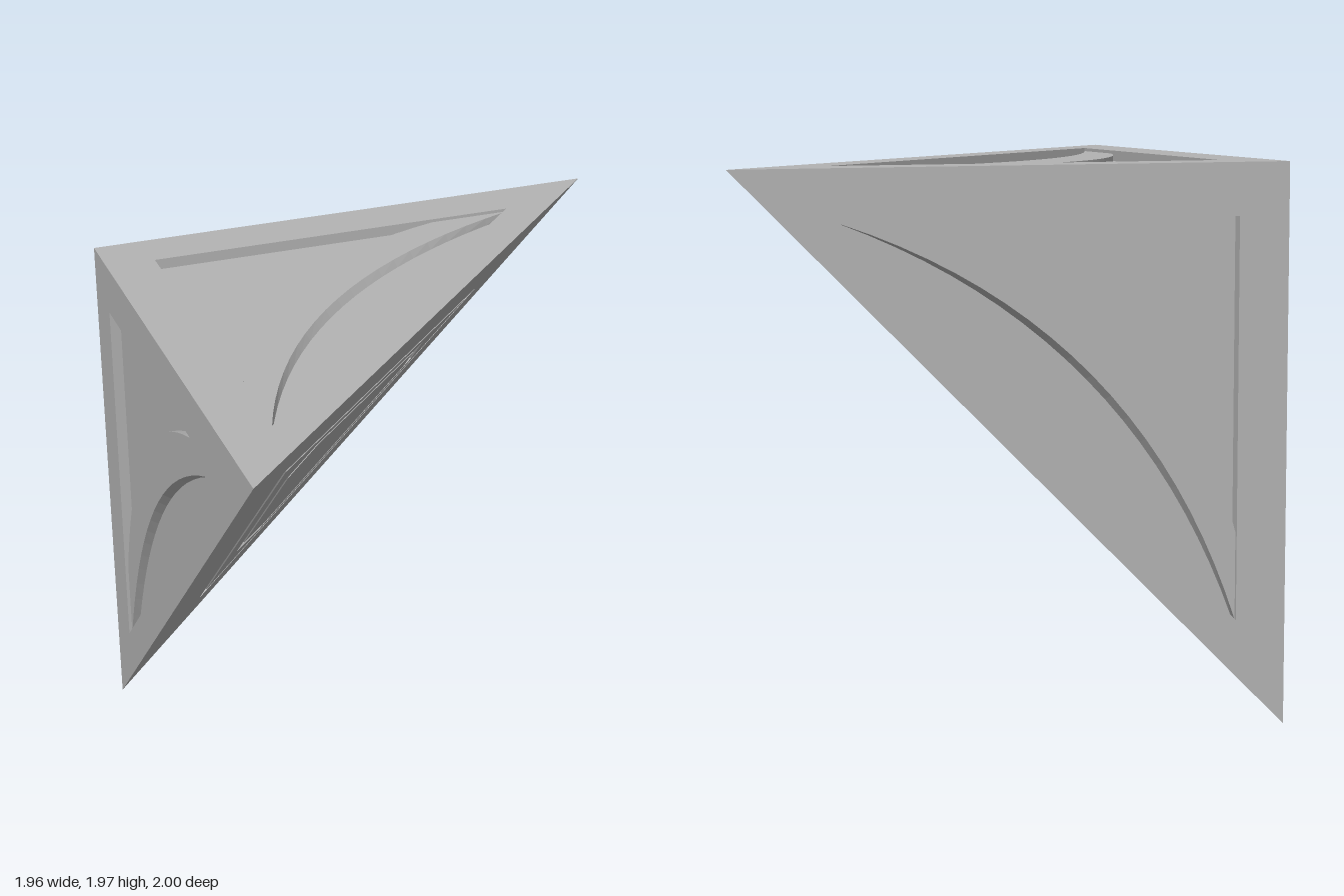
import * as THREE from 'three';

const V = (x, y, z) => new THREE.Vector3(x, y, z);
const P2 = (x, y) => new THREE.Vector2(x, y);

// corners of the wedge
const C = V(-0.98, 1.965, -0.965), A = V(0.98, 1.965, -0.965);
const B = V(-0.98, 1.935, 1), D = V(-0.98, 0, -1);
const CENTRE = C.clone().add(A).add(B).add(D).multiplyScalar(0.25);

export function createModel() {
  const model = new THREE.Group();
  const grey = new THREE.MeshStandardMaterial({ color: 0xb4b4b4, side: THREE.DoubleSide });
  grey.name = 'plain grey';

  // maps (s, t, depth below the surface) on one triangular face to space
  function faceFrame(o, p, q) {
    const u = p.clone().sub(o), v = q.clone().sub(o);
    const n = u.clone().cross(v).normalize();
    const flip = n.dot(o.clone().sub(CENTRE)) < 0;
    if (flip) n.negate();
    const at = (s, t, d) => o.clone().addScaledVector(u, s).addScaledVector(v, t).addScaledVector(n, -d);
    return { at, flip };
  }

  function add(group, name, geo) {
    geo.computeVertexNormals();
    const mesh = new THREE.Mesh(geo, grey);
    mesh.name = name;
    group.add(mesh);
  }

  // flat sheet with optional hole, laid on a face at some depth
  function sheet(group, name, frame, outline, depth, hole) {
    const shape = new THREE.Shape(outline);
    if (hole) shape.holes.push(new THREE.Path(hole));
    const geo = new THREE.ShapeGeometry(shape);
    const pos = geo.attributes.position;
    for (let i = 0; i < pos.count; i++) {
      const p = frame.at(pos.getX(i), pos.getY(i), depth);
      pos.setXYZ(i, p.x, p.y, p.z);
    }
    if (frame.flip) {
      const idx = geo.index.array;
      for (let i = 0; i < idx.length; i += 3) [idx[i], idx[i + 1]] = [idx[i + 1], idx[i]];
    }
    add(group, name, geo);
  }

  // strip of wall between two matching outlines at two depths
  function wall(group, name, frame, top, d0, bottom, d1, closed) {
    const pts = [];
    for (let i = 0; i < top.length - (closed ? 0 : 1); i++) {
      const j = (i + 1) % top.length;
      const a = frame.at(top[i].x, top[i].y, d0), b = frame.at(top[j].x, top[j].y, d0);
      const c = frame.at(bottom[j].x, bottom[j].y, d1), d = frame.at(bottom[i].x, bottom[i].y, d1);
      pts.push(a, b, c, a, c, d);
    }
    add(group, name, new THREE.BufferGeometry().setFromPoints(pts));
  }

  const arc = (end, c) => new THREE.QuadraticBezierCurve(
    P2(end, 0.093), P2(c, c), P2(0.093, end)).getPoints(20);
  const triangle = [P2(0, 0), P2(1, 0), P2(0, 1)];

  // three square-corner faces, each a pocket holding a raised crescent
  const FLOOR = 0.04, CREST = 0.012;
  const pocket = [P2(0.093, 0.093), P2(0.806, 0.093), P2(0.093, 0.806)];
  const innerArc = arc(0.65, 0.21), outerArc = arc(0.806, 0.274), outerFoot = arc(0.806, 0.288);
  [['topFace', A, B], ['backFace', A, D], ['sideFace', B, D]].forEach(([name, p, q]) => {
    const g = new THREE.Group();
    g.name = name;
    const f = faceFrame(C, p, q);
    sheet(g, 'border', f, triangle, 0, pocket);
    wall(g, 'pocketWall', f, pocket, 0, pocket, FLOOR, true);
    sheet(g, 'pocketFloor', f, pocket, FLOOR);
    sheet(g, 'crescent', f, [...innerArc, ...outerArc.slice().reverse()], CREST);
    wall(g, 'crescentInnerWall', f, innerArc, CREST, innerArc, FLOOR, false);
    wall(g, 'crescentOuterWall', f, outerArc, CREST, outerFoot, FLOOR, false);
    model.add(g);
  });

  // sloping face with two engraved outlines
  const slope = new THREE.Group();
  slope.name = 'slopingFace';
  const f = faceFrame(B, A, D);
  const scaled = (pts, k) => pts.map(p => P2(1 / 3 + (p.x - 1 / 3) * k, 1 / 3 + (p.y - 1 / 3) * k));
  const tri = [P2(0.142, 0.146), P2(0.72, 0.146), P2(0.142, 0.726)];
  const hex = [P2(0.194, 0.25), P2(0.255, 0.189), P2(0.571, 0.189),
    P2(0.571, 0.25), P2(0.255, 0.57), P2(0.194, 0.57)];
  const GROOVE = 0.03;
  let outline = triangle;
  [['triangle', scaled(tri, 1.02), scaled(tri, 0.95)], ['hexagon', scaled(hex, 1.02), scaled(hex, 0.93)]]
    .forEach(([name, outer, inner]) => {
      sheet(slope, name + 'Surround', f, outline, 0, outer);
      wall(slope, name + 'GrooveOuterWall', f, outer, 0, outer, GROOVE, true);
      sheet(slope, name + 'GrooveFloor', f, outer, GROOVE, inner);
      wall(slope, name + 'GrooveInnerWall', f, inner, 0, inner, GROOVE, true);
      outline = inner;
    });
  sheet(slope, 'centrePanel', f, outline, 0);
  model.add(slope);

  return model;
}
